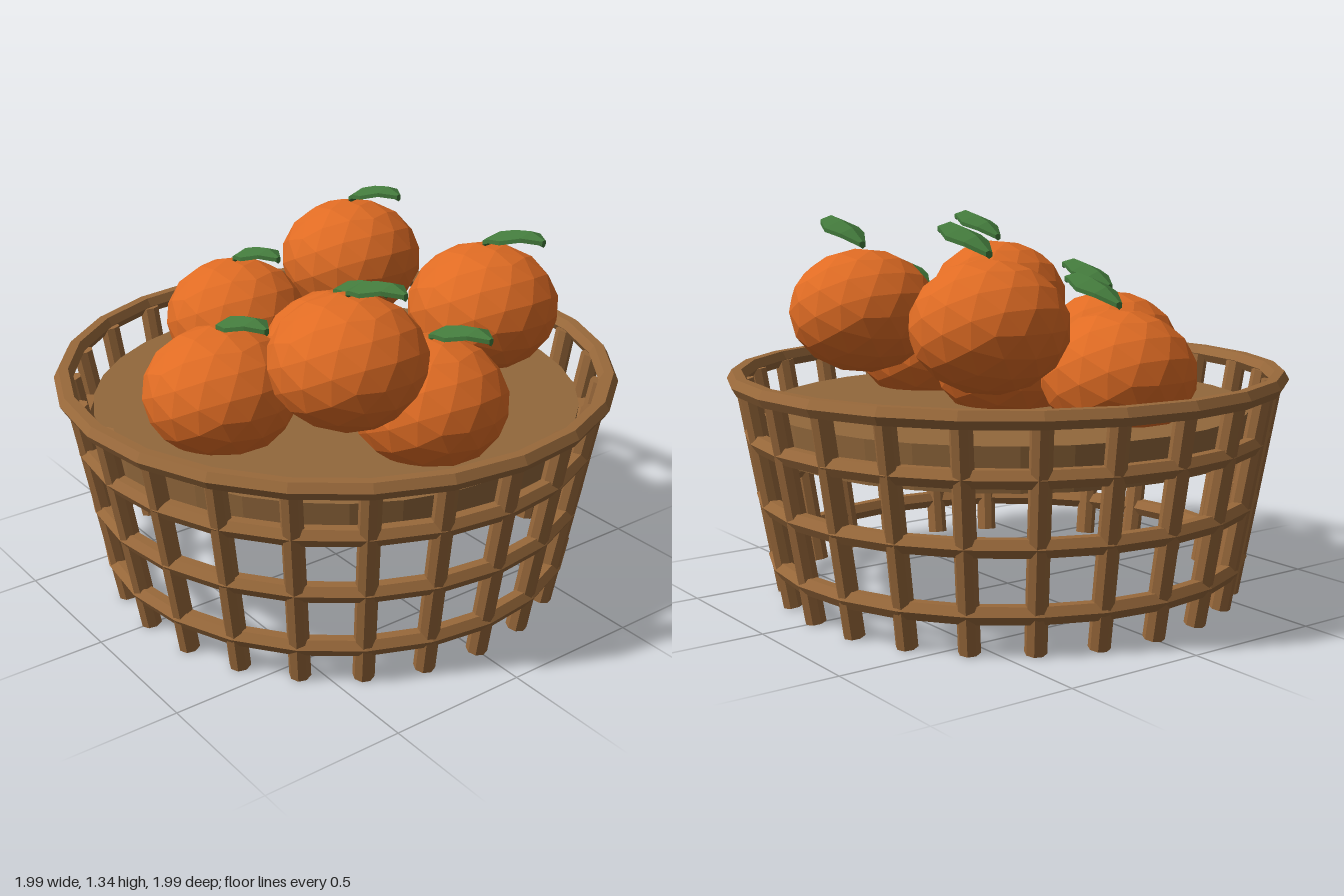
import * as THREE from 'three';

const mat = (name, color, extra = {}) => {
  const m = new THREE.MeshStandardMaterial({ color, flatShading: true, ...extra });
  m.name = name;
  return m;
};

// Folded, arching leaf made from five-point sections along x
function leafGeometry() {
  const stations = [ // x, top height, half width
    [0, 0.03, 0.012], [0.07, 0.075, 0.05], [0.145, 0.1, 0.07],
    [0.22, 0.115, 0.045], [0.285, 0.1, 0.008],
  ];
  const pos = [], index = [], n = 6;
  for (const [x, y, w] of stations) {
    const d = w * 0.38, t = 0.024;
    const section = [[y, 0], [y - d, w], [y - d - t * 0.6, w], [y - d * 0.6 - t, 0], [y - d - t * 0.6, -w], [y - d, -w]];
    for (const [sy, sz] of section) pos.push(x, sy, sz);
  }
  for (let s = 0; s < stations.length - 1; s++) {
    for (let i = 0; i < n; i++) {
      const a = s * n + i, b = s * n + (i + 1) % n;
      index.push(a, b, a + n, b, b + n, a + n);
    }
  }
  const last = (stations.length - 1) * n;
  for (let i = 1; i < n - 1; i++) {
    index.push(0, i + 1, i, last, last + i, last + i + 1);
  }
  const g = new THREE.BufferGeometry();
  g.setAttribute('position', new THREE.Float32BufferAttribute(pos, 3));
  g.setIndex(index);
  g.computeVertexNormals();
  return g;
}

export function createModel() {
  const model = new THREE.Group();
  const wicker = mat('wicker brown', 0x99693b);
  const trayWood = mat('tray brown', 0x92683c);
  const peel = mat('orange peel', 0xe06c24);
  const leafGreen = mat('leaf green', 0x437a3c, { side: THREE.DoubleSide });

  const add = (parent, name, geometry, material) => {
    const mesh = new THREE.Mesh(geometry, material);
    mesh.name = name;
    parent.add(mesh);
    return mesh;
  };

  // Basket: slanted upright stakes
  const basket = new THREE.Group();
  basket.name = 'basket';
  model.add(basket);
  const up = new THREE.Vector3(0, 1, 0);
  const count = 24;
  for (let i = 0; i < count; i++) {
    const a = (i / count) * Math.PI * 2;
    const foot = new THREE.Vector3(Math.sin(a) * 0.8, 0.006, Math.cos(a) * 0.8);
    const head = new THREE.Vector3(Math.sin(a) * 0.935, 0.775, Math.cos(a) * 0.935);
    const dir = head.clone().sub(foot);
    const stake = add(basket, 'stake', new THREE.CylinderGeometry(0.037, 0.037, dir.length(), 8), wicker);
    stake.position.copy(foot).add(head).multiplyScalar(0.5);
    stake.quaternion.setFromUnitVectors(up, dir.normalize());
  }

  // Woven hoops and the rim: radius, height
  const hoops = [[0.83, 0.138], [0.867, 0.362], [0.905, 0.587], [0.96, 0.779]];
  hoops.forEach(([r, y], i) => {
    const hoop = add(basket, i === 3 ? 'rim' : 'hoop', new THREE.TorusGeometry(r, 0.034, 6, count), wicker);
    hoop.rotation.x = Math.PI / 2;
    hoop.position.y = y;
  });

  // Raised tray carrying the fruit
  const tray = add(basket, 'tray', new THREE.CylinderGeometry(0.865, 0.85, 0.15, 32), trayWood);
  tray.position.y = 0.605;

  // Fruit with one leaf each: x, centre height, z
  const low = 0.825, high = 1.005;
  const fruits = [
    [0, low, 0], [0.52, low, 0], [-0.505, low, 0.09], [0.04, low, 0.51],
    [-0.38, high, -0.353], [0.31, high, -0.41], [0.43, high, 0.27],
  ];
  const fruitGeometry = new THREE.IcosahedronGeometry(0.266, 2).scale(1, 0.83, 1);
  const leaf = leafGeometry();
  for (const [x, y, z] of fruits) {
    const fruit = new THREE.Group();
    fruit.name = 'fruit';
    fruit.position.set(x, y, z);
    add(fruit, 'orangeBody', fruitGeometry, peel);
    add(fruit, 'leaf', leaf, leafGreen).position.y = 0.215;
    model.add(fruit);
  }
  return model;
}
